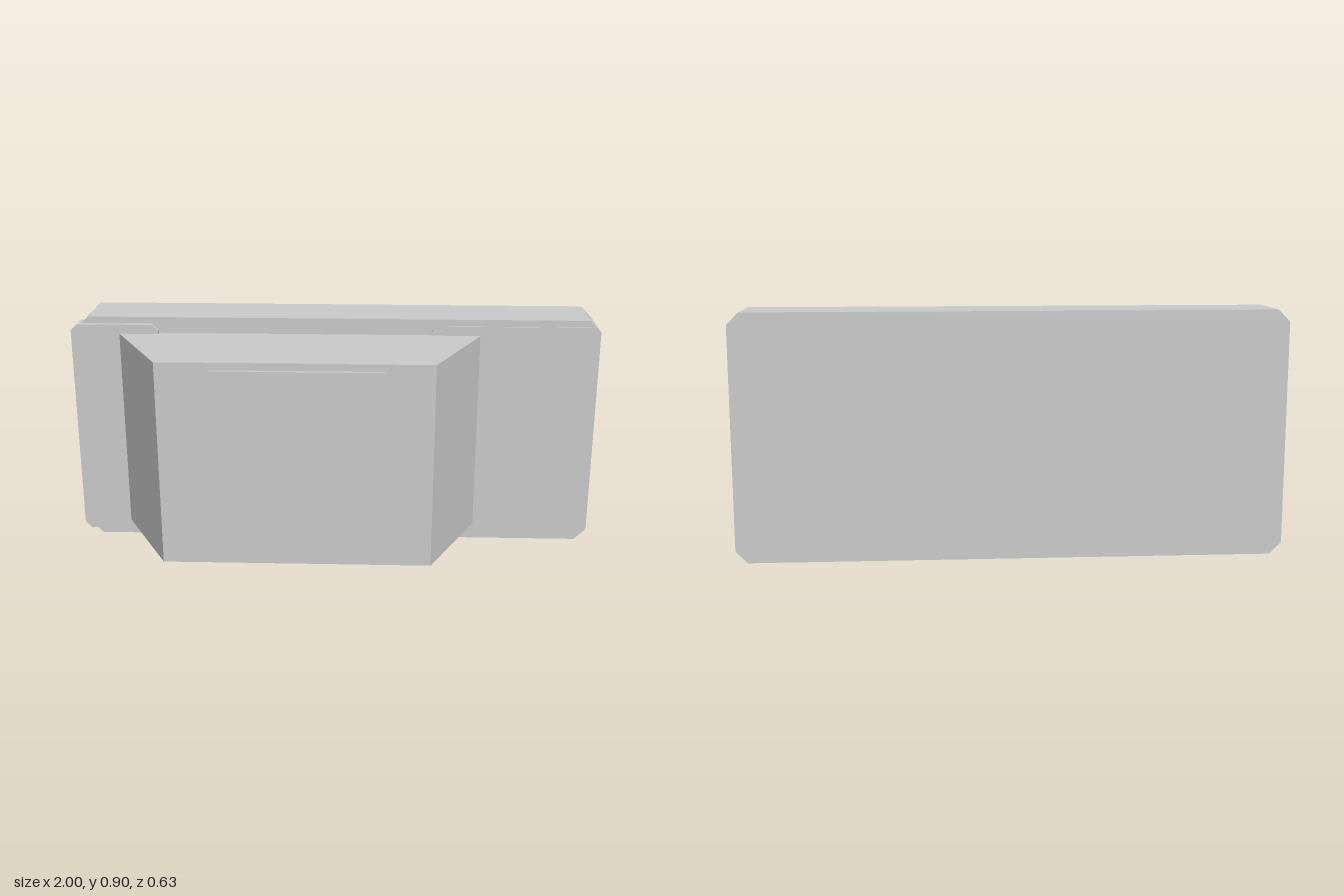
import * as THREE from 'three';

const material = new THREE.MeshStandardMaterial({ color: 0xcccccc, flatShading: true });

// Closed outline from [x, y] points
const outline = (pts) => new THREE.Shape(pts.map(([x, y]) => new THREE.Vector2(x, y)));

// Rectangle with separate corner cuts on its left and right sides
const cutRect = (x0, x1, y0, y1, cl, cr = cl) => outline([
  [x0 + cl, y0], [x1 - cr, y0], [x1, y0 + cr], [x1, y1 - cr],
  [x1 - cr, y1], [x0 + cl, y1], [x0, y1 - cl], [x0, y0 + cl],
]);

// Rectangle with rounded corners
function roundRect(x0, x1, y0, y1, r) {
  const s = new THREE.Shape();
  s.absarc(x1 - r, y1 - r, r, 0, Math.PI / 2);
  s.absarc(x0 + r, y1 - r, r, Math.PI / 2, Math.PI);
  s.absarc(x0 + r, y0 + r, r, Math.PI, Math.PI * 1.5);
  s.absarc(x1 - r, y0 + r, r, Math.PI * 1.5, Math.PI * 2);
  return s;
}

function slab(name, shape, z0, z1) {
  const geo = new THREE.ExtrudeGeometry(shape, { depth: z1 - z0, bevelEnabled: false, curveSegments: 4 });
  geo.translate(0, 0, z0);
  const mesh = new THREE.Mesh(geo, material);
  mesh.name = name;
  return mesh;
}

export function createModel() {
  const model = new THREE.Group();
  model.name = 'housing';

  // Main flat body with chamfered corners
  model.add(slab('body', cutRect(-0.978, 1, 0, 0.896, 0.043), -0.315, -0.089));

  // Tapered front block: plan outline raised along y
  const plan = outline([[-0.825, 0.09], [-0.62, -0.302], [0.368, -0.302], [0.553, 0.09]].reverse());
  const block = slab('frontBlock', plan, 0.065, 0.835);
  block.geometry.rotateX(-Math.PI / 2);
  model.add(block);

  // Raised panel on the block face
  model.add(slab('frontPanel', roundRect(-0.433, 0.198, 0.092, 0.808, 0.014), 0.302, 0.315));

  // Cover plate wrapping the right end, with its side flange
  const cover = new THREE.Group();
  cover.name = 'endCover';
  cover.add(slab('coverFace', cutRect(-1, -0.667, 0.03, 0.87, 0.024), -0.089, -0.07));
  const flange = outline([
    [-1, 0.054], [-0.976, 0.03], [-0.962, 0.03], [-0.962, 0.87], [-0.976, 0.87], [-1, 0.846],
  ]);
  cover.add(slab('coverFlange', flange, -0.14, -0.089));
  model.add(cover);

  // Thin plate on the opposite end
  model.add(slab('endPlate', cutRect(0.37, 1, 0.03, 0.87, 0.014, 0.02), -0.089, -0.084));

  return model;
}
